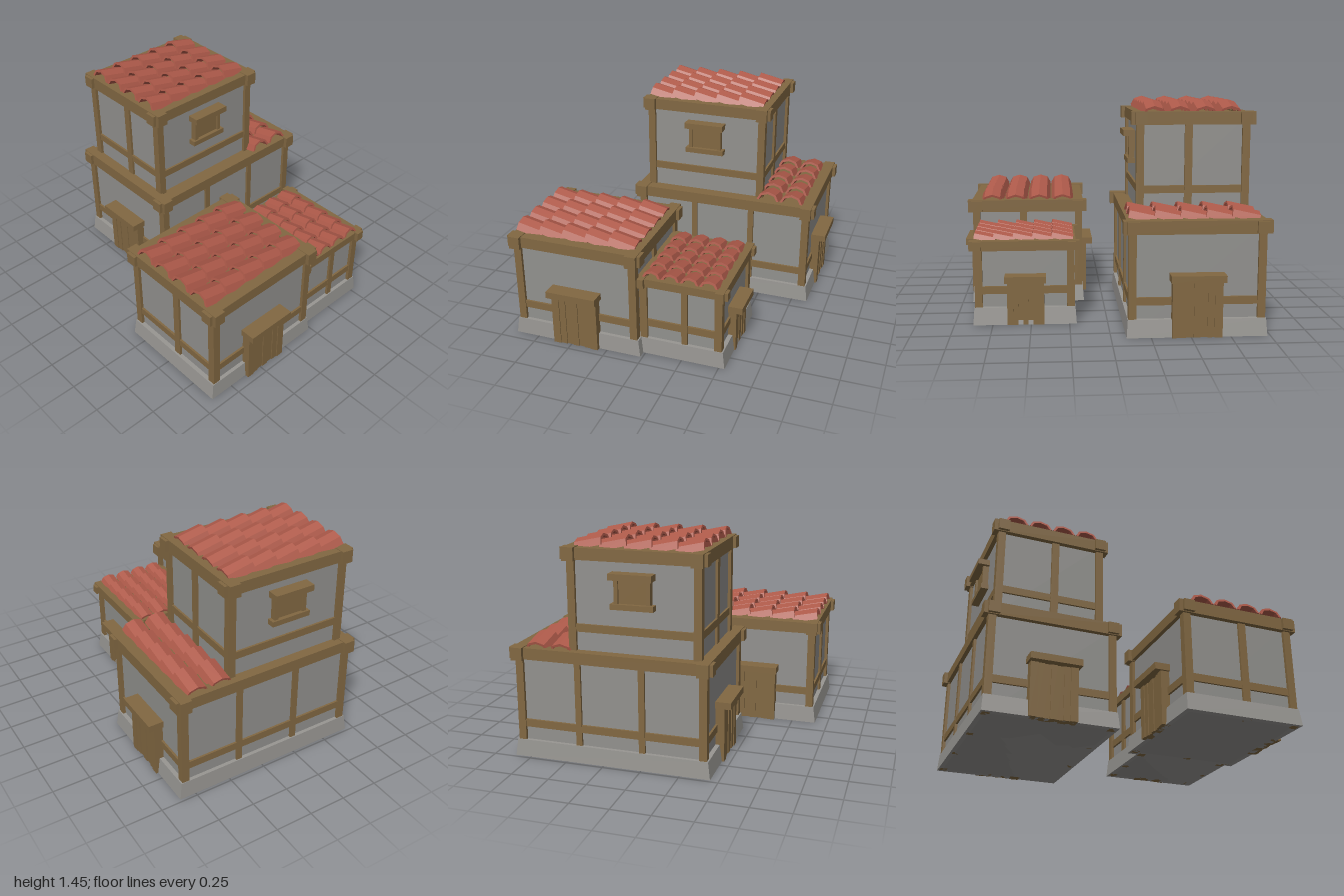
import * as THREE from 'three';

export function createModel() {
  const model = new THREE.Group();
  model.name = 'timberHouses';
  const material = (name, color) => {
    const m = new THREE.MeshStandardMaterial({ color });
    m.name = name;
    return m;
  };
  const wood = material('wood', 0x826842);
  const plaster = material('plaster', 0x92918e);
  const stone = material('stone', 0x989692);
  const clay = material('clay', 0xae5a4a);

  // Box given by its limits on each axis
  function box(parent, name, mat, x0, x1, y0, y1, z0, z1) {
    const mesh = new THREE.Mesh(new THREE.BoxGeometry(x1 - x0, y1 - y0, z1 - z0), mat);
    mesh.position.set((x0 + x1) / 2, (y0 + y1) / 2, (z0 + z1) / 2);
    mesh.name = name;
    parent.add(mesh);
    return mesh;
  }

  // Half-timbered block; hx and hz reach the outer faces of the corner posts
  function block(name, o) {
    const g = new THREE.Group();
    g.name = name;
    g.position.set(o.cx, 0, o.cz);
    model.add(g);
    const { hx, hz, y0, y1, beam } = o, p = 0.05;
    box(g, 'walls', plaster, -hx + 0.02, hx - 0.02, y0, y1 - 0.03, -hz + 0.02, hz - 0.02);
    box(g, 'roofDeck', wood, -hx, hx, y1 - 0.04, y1 - 0.008, -hz, hz);

    // Stone footing, narrower at its top
    if (o.footing) {
      const base = box(g, 'footing', stone, -hx - 0.024, hx + 0.024, 0, 0.112, -hz - 0.012, hz + 0.012);
      const pos = base.geometry.attributes.position;
      for (let i = 0; i < pos.count; i++) {
        if (pos.getY(i) > 0) {
          pos.setX(i, pos.getX(i) - Math.sign(pos.getX(i)) * 0.015);
          pos.setZ(i, pos.getZ(i) - Math.sign(pos.getZ(i)) * 0.008);
        }
      }
      base.geometry.computeVertexNormals();
    }

    const r0 = o.rail, r1 = o.rail + 0.05;
    for (const s of [-1, 1]) {
      // Corner posts
      for (const t of [-1, 1]) {
        const x = s * (hx - p / 2), z = t * (hz - p / 2);
        box(g, 'cornerPost', wood, x - p / 2, x + p / 2, y0, y1 - 0.02, z - p / 2, z + p / 2);
      }
      // Middle rails
      const rz = s * (hz - 0.025), rx = s * (hx - 0.025);
      box(g, 'rail', wood, -hx + p, hx - p, r0, r1, rz - 0.019, rz + 0.019);
      box(g, 'rail', wood, rx - 0.019, rx + 0.019, r0, r1, -hz + p, hz - p);
      // Studs between the corners
      for (const x of o.studsX || []) box(g, 'stud', wood, x - 0.02, x + 0.02, y0, y1 - 0.02, rz - 0.021, rz + 0.021);
      for (const z of o.studsZ || []) box(g, 'stud', wood, rx - 0.021, rx + 0.021, y0, y1 - 0.02, z - 0.025, z + 0.025);
      // Crossing top beams with overhanging ends
      const w = beam, bz = s * (hz + 0.008 - w / 2), bx = s * (hx + 0.015 - w / 2);
      box(g, 'topBeam', wood, -hx - 0.036, hx + 0.036, y1 - beam, y1, bz - w / 2, bz + w / 2);
      box(g, 'topBeam', wood, bx - w / 2, bx + w / 2, y1 - beam - 0.005, y1 + 0.004, -hz - 0.033, hz + 0.033);
    }
    return g;
  }

  // Faces outward along its own +z, standing at a wall's post line
  function door(x, z, turn, w, h) {
    const g = new THREE.Group();
    g.name = 'door';
    g.position.set(x, 0, z);
    g.rotation.y = turn;
    model.add(g);
    const jamb = w * 0.16, n = 5, pw = (w - 2 * jamb) / n;
    for (const s of [-1, 1]) {
      const c = s * (w - jamb) / 2;
      box(g, 'doorJamb', wood, c - jamb / 2, c + jamb / 2, 0, h, -0.03, 0.038);
    }
    for (let i = 0; i < n; i++) {
      const a = -w / 2 + jamb + i * pw;
      box(g, 'doorPlank', wood, a, a + pw, 0, h, -0.03, i % 2 ? 0.026 : 0.032);
    }
    box(g, 'doorLintel', wood, -w / 2 - 0.014, w / 2 + 0.014, h - 0.003, h + 0.042, -0.03, 0.082);
  }

  function shutteredWindow(x, z, turn) {
    const g = new THREE.Group();
    g.name = 'window';
    g.position.set(x, 0, z);
    g.rotation.y = turn;
    model.add(g);
    box(g, 'shutter', wood, -0.1, 0.1, 1.04, 1.21, -0.03, 0.006);
    for (const s of [-1, 1]) {
      box(g, 'windowJamb', wood, s * 0.103 - 0.013, s * 0.103 + 0.013, 1.04, 1.21, -0.03, 0.02);
    }
    box(g, 'windowLintel', wood, -0.137, 0.137, 1.2, 1.24, -0.03, 0.06);
    box(g, 'windowSill', wood, -0.137, 0.137, 1.015, 1.05, -0.03, 0.032);
  }

  // Half-barrel tile running from its raised end at z = 0 toward -z
  function tileGeometry(width, height, length) {
    const arc = (rx, ry) => Array.from({ length: 5 }, (_, i) => {
      const a = (i / 4) * Math.PI;
      return new THREE.Vector2(Math.cos(a) * rx, Math.sin(a) * ry);
    });
    const t = 0.016;
    const shape = new THREE.Shape([...arc(width / 2, height), ...arc(width / 2 - t, height - t).reverse()]);
    const geo = new THREE.ExtrudeGeometry(shape, { depth: length, bevelEnabled: false });
    return geo.translate(0, 0, -length);
  }

  // Overlapping tiles, each tipped down away from the row's start
  function tileRow(geo, x, y, z, turn, step) {
    const row = new THREE.Group();
    row.name = 'tileRow';
    row.position.set(x, y, z);
    row.rotation.y = turn;
    for (let i = 0; i < 5; i++) {
      const tile = new THREE.Mesh(geo, clay);
      tile.name = 'roofTile';
      tile.position.set(0, 0.016, -i * step);
      tile.rotation.x = -0.22;
      row.add(tile);
    }
    model.add(row);
  }

  // Blocks
  block('mainHouse', { cx: 0.207, cz: -0.538, hx: 0.628, hz: 0.43, y0: 0, y1: 0.73, beam: 0.075, rail: 0.2, footing: true, studsX: [-0.21, 0.21] });
  block('tower', { cx: 0.053, cz: -0.557, hx: 0.428, hz: 0.37, y0: 0.7, y1: 1.376, beam: 0.075, rail: 0.85, studsZ: [0.03] });
  block('frontHouse', { cx: -0.464, cz: 0.533, hx: 0.425, hz: 0.385, y0: 0, y1: 0.73, beam: 0.075, rail: 0.2, footing: true, studsZ: [0.03] });
  block('annex', { cx: 0.238, cz: 0.54, hx: 0.276, hz: 0.325, y0: 0, y1: 0.55, beam: 0.055, rail: 0.2, footing: true, studsX: [0.025] });

  // Doors and windows
  door(0.835, -0.536, Math.PI / 2, 0.315, 0.362);
  door(-0.421, -0.536, -Math.PI / 2, 0.315, 0.362);
  door(-0.464, 0.918, 0, 0.315, 0.362);
  door(-0.464, 0.148, Math.PI, 0.315, 0.362);
  door(0.508, 0.535, Math.PI / 2, 0.24, 0.29);
  shutteredWindow(0.053, -0.187, 0);
  shutteredWindow(0.053, -0.927, Math.PI);

  // Roof tiles
  const largeTile = tileGeometry(0.158, 0.062, 0.178);
  const smallTile = tileGeometry(0.12, 0.045, 0.14);
  for (let i = 0; i < 4; i++) {
    tileRow(largeTile, -0.893, 0.73, 0.285 + i * 0.166, -Math.PI / 2, 0.161);
    tileRow(largeTile, -0.375, 1.376, -0.805 + i * 0.166, -Math.PI / 2, 0.161);
    tileRow(smallTile, 0.046 + i * 0.126, 0.55, 0.87, 0, 0.126);
  }
  for (const x of [0.535, 0.702]) tileRow(largeTile, x, 0.73, -0.11, 0, 0.162);

  return model;
}
